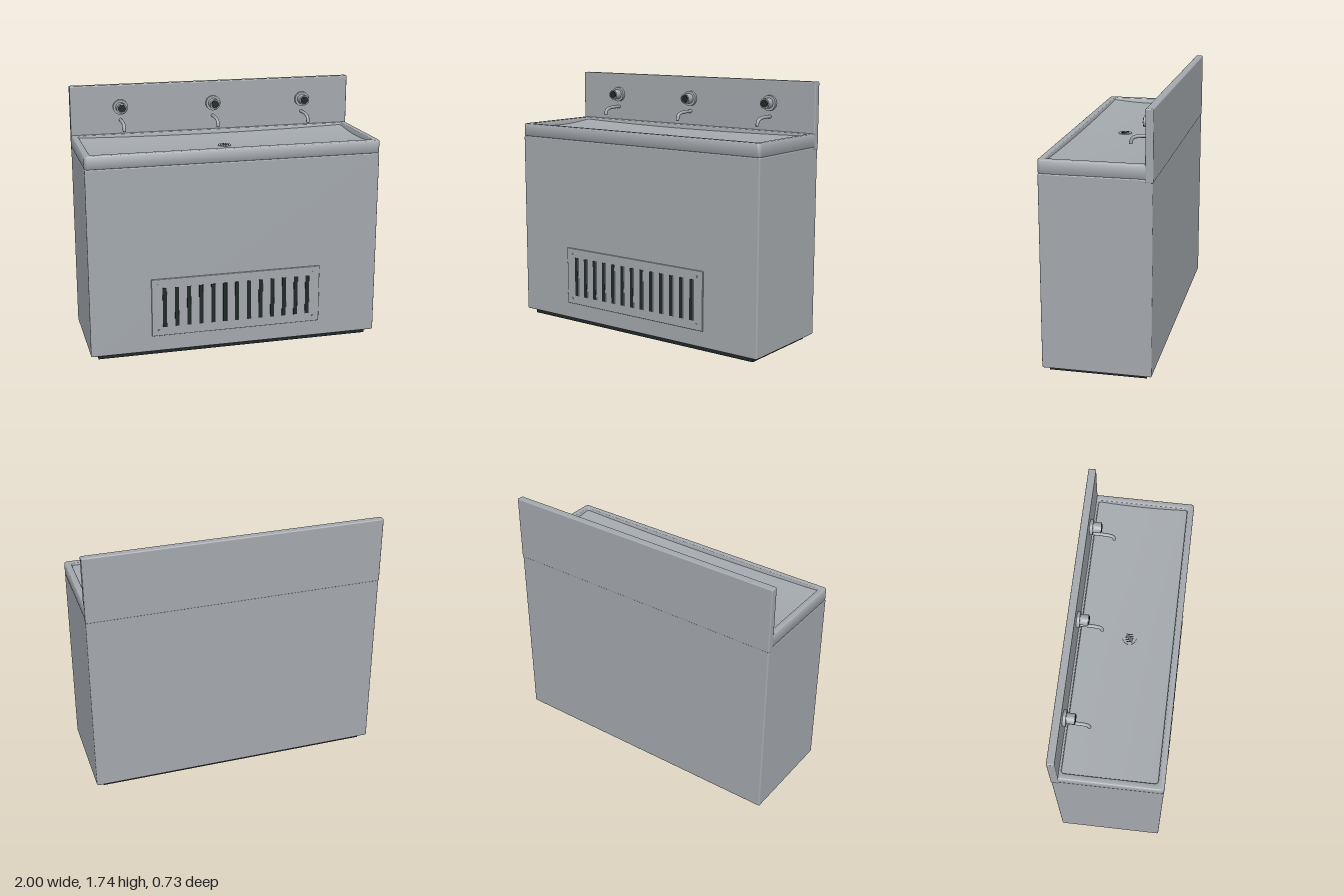
import * as THREE from 'three';
import { RoundedBoxGeometry } from 'three/addons/geometries/RoundedBoxGeometry.js';
import { toCreasedNormals } from 'three/addons/utils/BufferGeometryUtils.js';

const steel = new THREE.MeshStandardMaterial({ color: 0xa4a9ae });
steel.name = 'steel';
const dark = new THREE.MeshStandardMaterial({ color: 0x1e2828 });
dark.name = 'dark';

function add(parent, name, geometry, material, x = 0, y = 0, z = 0) {
  const mesh = new THREE.Mesh(geometry, material);
  mesh.name = name;
  mesh.position.set(x, y, z);
  parent.add(mesh);
  return mesh;
}

// Softly rounded box given by its limits
function block(parent, name, material, [x0, x1], [y0, y1], [z0, z1], r) {
  const g = new RoundedBoxGeometry(x1 - x0, y1 - y0, z1 - z0, 3, r);
  return add(parent, name, g, material, (x0 + x1) / 2, (y0 + y1) / 2, (z0 + z1) / 2);
}

// Rounded rectangle outline, drawn with -z as its second axis
function outline(path, hx, zBack, zFront, r) {
  const a = -zFront, b = -zBack;
  path.moveTo(-hx + r, a);
  path.lineTo(hx - r, a);
  path.absarc(hx - r, a + r, r, -Math.PI / 2, 0);
  path.absarc(hx - r, b - r, r, 0, Math.PI / 2);
  path.absarc(-hx + r, b - r, r, Math.PI / 2, Math.PI);
  path.absarc(-hx + r, a + r, r, Math.PI, Math.PI * 1.5);
  return path;
}

// Cylinder whose axis points to the front
function disc(r, depth, segments = 32) {
  return new THREE.CylinderGeometry(r, r, depth, segments).rotateX(Math.PI / 2);
}

function makeBasin() {
  const basin = new THREE.Group();
  basin.name = 'basin';

  // Rim with a rounded lip around the open trough
  const b = 0.01;
  const shape = outline(new THREE.Shape(), 0.999 - b, -0.36 + b, 0.35 - b, 0.012);
  shape.holes.push(outline(new THREE.Path(), 0.955 + b, -0.298 + b - 2 * b, 0.305 + b, 0.03));
  const rim = new THREE.ExtrudeGeometry(shape, {
    depth: 0.09 - 2 * b, bevelThickness: b, bevelSize: b, bevelSegments: 4, curveSegments: 6,
  });
  rim.rotateX(-Math.PI / 2);
  add(basin, 'rim', toCreasedNormals(rim, 0.7), steel, 0, 1.31 + b, 0);

  // Shallow dished floor falling to the drain
  const floor = new THREE.PlaneGeometry(1.93, 0.625, 32, 16).rotateX(-Math.PI / 2);
  const p = floor.attributes.position;
  for (let i = 0; i < p.count; i++) {
    p.setY(i, 0.015 * (p.getX(i) / 0.96) ** 2 + 0.02 * (p.getZ(i) / 0.31) ** 2);
  }
  floor.computeVertexNormals();
  add(basin, 'floor', floor, steel, 0, 1.35, 0.003);

  // Slotted drain
  add(basin, 'drainPlate', new THREE.CylinderGeometry(0.045, 0.045, 0.008, 32), steel, 0, 1.35, 0.02);
  for (let i = -2; i <= 2; i++) {
    const length = 0.055 - Math.abs(i) * 0.006;
    add(basin, 'drainSlot', new THREE.BoxGeometry(0.006, 0.004, length), dark, i * 0.0125, 1.353, 0.02);
  }
  return basin;
}

function makeTap() {
  const tap = new THREE.Group();
  tap.name = 'tap';

  // Push button on a wall flange
  add(tap, 'flange', disc(0.052, 0.02), steel, 0, 1.585, -0.303);
  add(tap, 'buttonHousing', disc(0.035, 0.056), steel, 0, 1.585, -0.268);
  add(tap, 'buttonFace', disc(0.027, 0.006), dark, 0, 1.585, -0.239);

  // Spout bending down at its end
  const path = new THREE.CatmullRomCurve3([
    [1.494, -0.315], [1.494, -0.24], [1.488, -0.19], [1.475, -0.165], [1.443, -0.156],
  ].map(([y, z]) => new THREE.Vector3(0, y, z)));
  add(tap, 'spout', new THREE.TubeGeometry(path, 28, 0.0115, 14), steel);
  add(tap, 'spoutOpening', new THREE.CylinderGeometry(0.01, 0.01, 0.004, 14), dark, 0, 1.4435, -0.156);
  return tap;
}

function makeGrille() {
  const grille = new THREE.Group();
  grille.name = 'grille';
  block(grille, 'grillePlate', steel, [-0.586, 0.586], [0.145, 0.545], [0.335, 0.358], 0.004);

  // Vent slots, each with a narrow raised edge
  for (let i = -6; i <= 6; i++) {
    const x = i * 0.083;
    add(grille, 'ventSlot', new THREE.BoxGeometry(0.028, 0.275, 0.006), dark, x, 0.345, 0.358);
    add(grille, 'ventEdge', new THREE.BoxGeometry(0.004, 0.275, 0.01), steel, x + 0.015, 0.345, 0.358);
  }

  // Corner screws
  for (const x of [-0.54, 0.54]) {
    for (const y of [0.185, 0.505]) {
      add(grille, 'screw', disc(0.007, 0.01, 12), steel, x, y, 0.358);
    }
  }
  return grille;
}

export function createModel() {
  const model = new THREE.Group();
  model.name = 'washTrough';

  // Plinth, cabinet and upright back panel
  add(model, 'plinth', new THREE.BoxGeometry(1.89, 0.05, 0.63), dark, 0, 0.025, -0.005);
  block(model, 'cabinet', steel, [-0.998, 0.998], [0.033, 1.313], [-0.36, 0.348], 0.01);
  block(model, 'backsplash', steel, [-1, 1], [1.29, 1.738], [-0.363, -0.313], 0.008);

  model.add(makeBasin(), makeGrille());
  for (const x of [-0.656, 0, 0.656]) {
    const tap = makeTap();
    tap.position.x = x;
    model.add(tap);
  }
  return model;
}
